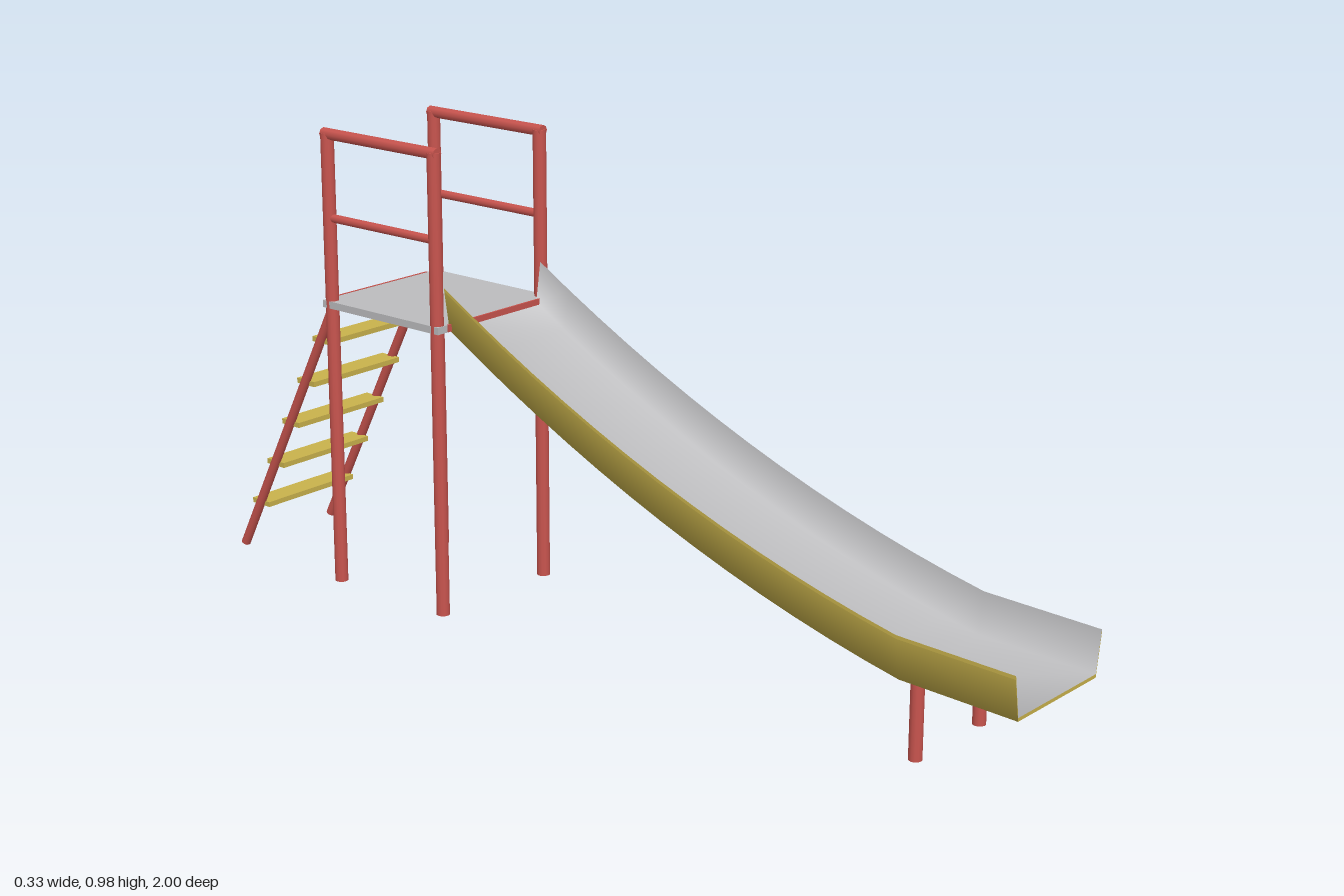
import * as THREE from 'three';

const material = (name, color) => {
  const m = new THREE.MeshStandardMaterial({ color });
  m.name = name;
  return m;
};

export function createModel() {
  const red = material('red paint', 0xc8544e);
  const yellow = material('yellow paint', 0xc9b24c);
  const grey = material('grey metal', 0xbcbcbe);
  const model = new THREE.Group();
  model.name = 'playgroundSlide';

  const add = (name, geometry, mat, x = 0, y = 0, z = 0) => {
    const mesh = new THREE.Mesh(geometry, mat);
    mesh.name = name;
    mesh.position.set(x, y, z);
    model.add(mesh);
    return mesh;
  };
  // Round bar between two points
  const bar = (name, a, b, radius, sides = 12) => {
    const from = new THREE.Vector3(...a), to = new THREE.Vector3(...b);
    const dir = to.clone().sub(from);
    const geo = new THREE.CylinderGeometry(radius, radius, dir.length(), sides);
    const mesh = add(name, geo, red);
    mesh.position.copy(from).add(to).multiplyScalar(0.5);
    mesh.quaternion.setFromUnitVectors(new THREE.Vector3(0, 1, 0), dir.normalize());
  };

  // Platform with red front and back edges
  add('platform', new THREE.BoxGeometry(0.33, 0.015, 0.33), grey, 0, 0.61, -0.51);
  for (const z of [-0.344, -0.676]) {
    add('platformEdge', new THREE.BoxGeometry(0.276, 0.015, 0.004), red, 0, 0.611, z);
  }

  for (const s of [-1, 1]) {
    // Posts and handrails
    for (const z of [-0.36, -0.66]) bar('post', [s * 0.152, 0.005, z], [s * 0.152, 0.965, z], 0.014);
    bar('topRail', [s * 0.152, 0.963, -0.35], [s * 0.152, 0.963, -0.67], 0.012, 8);
    bar('middleRail', [s * 0.152, 0.79, -0.36], [s * 0.152, 0.79, -0.66], 0.009, 8);
    // Ladder rails and slide supports
    bar('ladderRail', [s * 0.127, 0.61, -0.677], [s * 0.127, 0.004, -0.991], 0.01);
    bar('slideSupport', [s * 0.103, 0.005, 0.775], [s * 0.103, 0.16, 0.775], 0.013);
  }

  // Ladder steps
  for (let i = 0; i < 5; i++) {
    add('ladderStep', new THREE.BoxGeometry(0.25, 0.011, 0.052), yellow,
      0, 0.108 + i * 0.101, -0.938 + i * 0.0525);
  }

  // Chute: one trough section swept along the slope, level at the run-out
  const section = [[-0.14, 0.082], [-0.127, 0], [0.127, 0], [0.14, 0.082]];
  const path = [[1, 0.159], [0.75, 0.168]];
  const steps = 14;
  for (let i = 1; i <= steps; i++) {
    const t = 1.1 * i / steps;
    path.push([0.75 - t, 0.168 + 0.21 * t + 0.175 * t * t]);
  }
  const point = (i, j, drop) => [section[i][0], path[j][1] + section[i][1] - drop, path[j][0]];

  // Smooth sheet from rows of points
  const sheet = (rows, flip) => {
    const n = rows[0].length, index = [];
    for (let j = 0; j < rows.length - 1; j++) {
      for (let i = 0; i < n - 1; i++) {
        const a = j * n + i, b = a + 1, c = a + n, d = c + 1;
        if (flip) index.push(a, c, b, b, c, d);
        else index.push(a, b, c, b, d, c);
      }
    }
    const geo = new THREE.BufferGeometry();
    geo.setAttribute('position', new THREE.Float32BufferAttribute(rows.flat(2), 3));
    geo.setIndex(index);
    geo.computeVertexNormals();
    return geo;
  };
  const thickness = 0.007;
  const rows = drop => path.map((_, j) => section.map((_, i) => point(i, j, drop)));
  const top = rows(0), under = rows(thickness);
  add('chuteSurface', sheet(top, false), grey);
  add('chuteUnderside', sheet(under, true), yellow);

  // Rims closing the gap between surface and underside
  const last = path.length - 1;
  add('chuteFrontRim', sheet([under[0], top[0]], false), yellow);
  add('chuteBackRim', sheet([under[last], top[last]], true), yellow);
  for (const i of [0, 3]) {
    const edge = r => r.map(row => row[i]);
    add('chuteSideRim', sheet([edge(under), edge(top)], i === 0), yellow);
  }
  return model;
}
